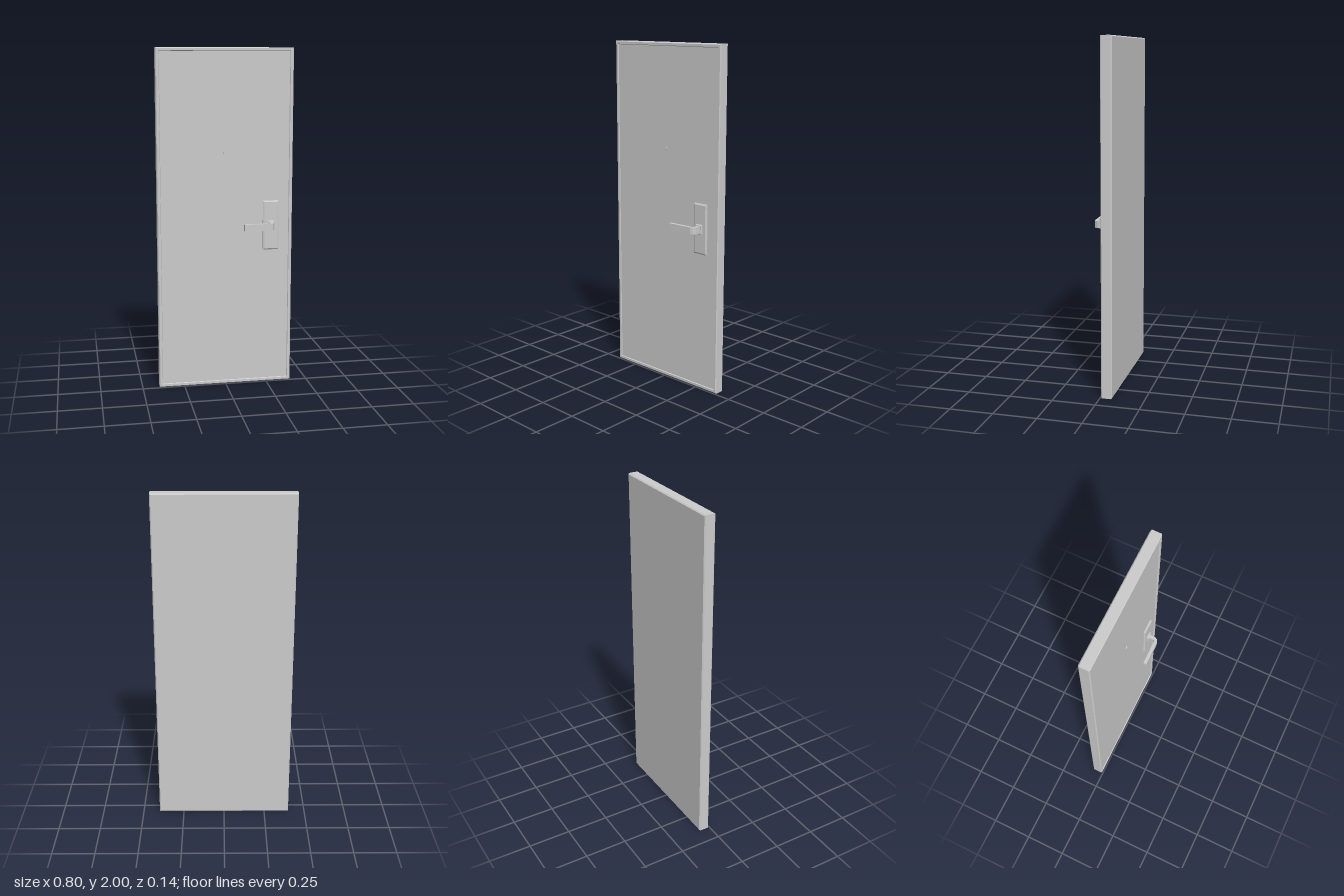
import * as THREE from 'three';

const material = new THREE.MeshStandardMaterial({ color: 0xcccccc, flatShading: true });

function addMesh(group, name, geometry, x = 0, y = 0, z = 0) {
  const mesh = new THREE.Mesh(geometry, material);
  mesh.name = name;
  mesh.position.set(x, y, z);
  group.add(mesh);
  return mesh;
}

// Solid made of nested rectangles, listed from back to front as [inset, z]
function steppedPanel(width, height, rings) {
  const pos = [], idx = [];
  for (const [inset, z] of rings) {
    const a = width / 2 - inset, b = height / 2 - inset;
    pos.push(-a, -b, z, a, -b, z, a, b, z, -a, b, z);
  }
  for (let r = 0; r < rings.length - 1; r++) {
    for (let i = 0; i < 4; i++) {
      const p = r * 4 + i, q = r * 4 + (i + 1) % 4;
      idx.push(p, q, q + 4, p, q + 4, p + 4);
    }
  }
  const f = (rings.length - 1) * 4;
  idx.push(0, 2, 1, 0, 3, 2, f, f + 1, f + 2, f, f + 2, f + 3);
  const indexed = new THREE.BufferGeometry();
  indexed.setAttribute('position', new THREE.Float32BufferAttribute(pos, 3));
  indexed.setIndex(idx);
  const geometry = indexed.toNonIndexed();
  geometry.computeVertexNormals();
  return geometry;
}

// Bent lever: plan outline in x and z, extruded upwards
function leverGeometry(height) {
  const outline = [
    [0.26, 0.005], [0.28, 0.005], [0.28, 0.043], [0.27, 0.06], [0.255, 0.066],
    [0.2, 0.067], [0.1, 0.07], [0.1, 0.05], [0.2, 0.048], [0.25, 0.047],
    [0.257, 0.045], [0.26, 0.039],
  ];
  const shape = new THREE.Shape(outline.map(([x, z]) => new THREE.Vector2(x, -z)));
  const geometry = new THREE.ExtrudeGeometry(shape, { depth: height, bevelEnabled: false });
  geometry.rotateX(-Math.PI / 2);
  geometry.translate(0, -height / 2, 0);
  return geometry;
}

export function createModel() {
  const model = new THREE.Group();
  model.name = 'door';

  // Leaf with chamfered edges and a shallow recessed front face
  addMesh(model, 'doorLeaf', steppedPanel(0.8, 2, [
    [0.006, -0.07], [0, -0.064], [0, -0.011], [0.005, -0.006],
    [0.018, -0.006], [0.021, -0.011],
  ]), 0, 1, 0);

  // Peephole
  const peephole = addMesh(model, 'peephole', new THREE.CylinderGeometry(0.011, 0.011, 0.006, 20), 0, 1.4, -0.009);
  peephole.rotation.x = Math.PI / 2;

  // Handle: backplate, rose and lever
  const handle = new THREE.Group();
  handle.name = 'handle';
  model.add(handle);
  addMesh(handle, 'backplate', steppedPanel(0.094, 0.294, [
    [0, -0.013], [0, -0.005], [0.008, 0], 
  ]), 0.271, 0.968, 0);
  addMesh(handle, 'rose', steppedPanel(0.042, 0.056, [
    [0, -0.002], [0, 0.006], [0.004, 0.01],
  ]), 0.27, 0.968, 0);
  addMesh(handle, 'lever', leverGeometry(0.04), 0, 0.968, 0);

  return model;
}
